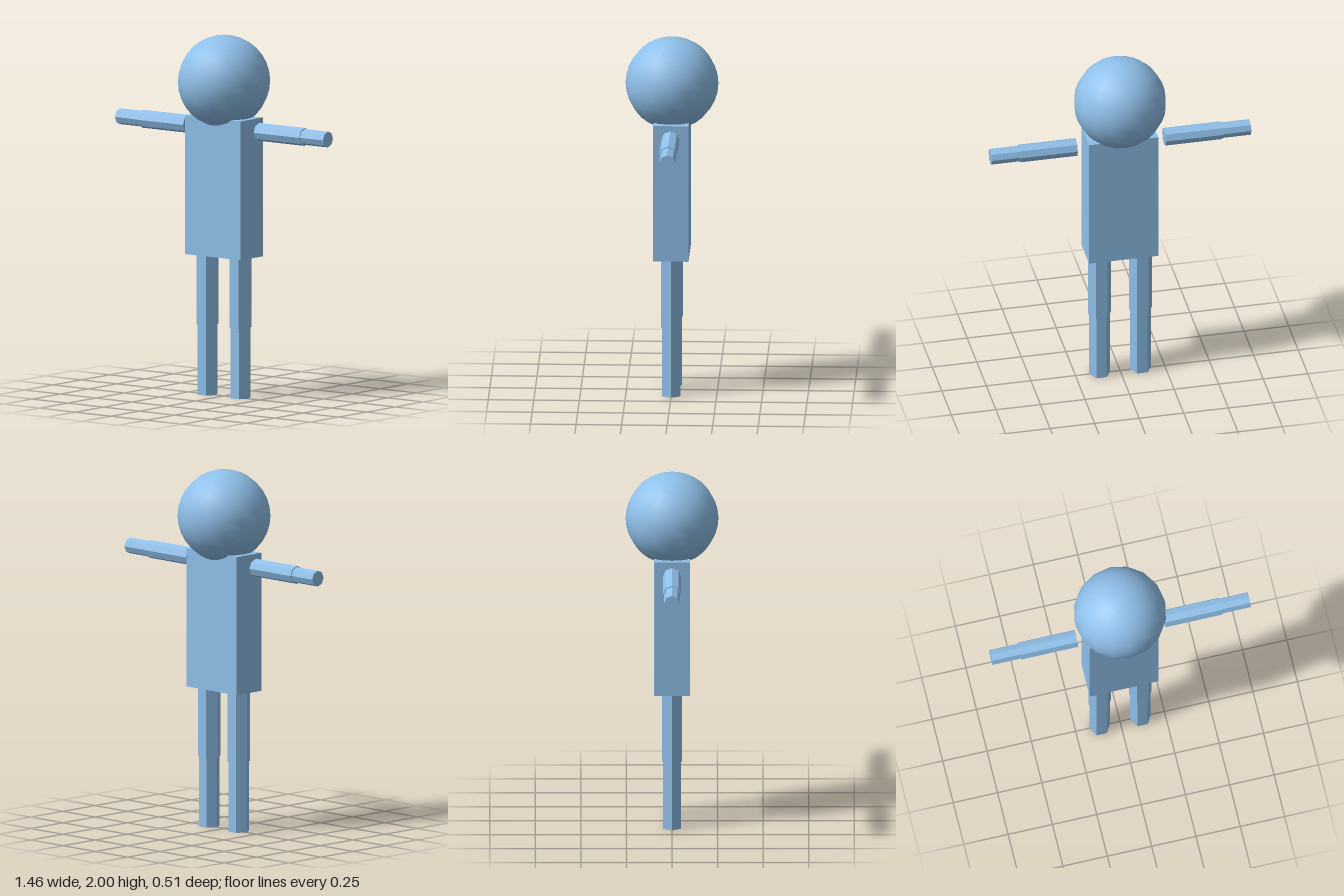
import * as THREE from 'three';

const COLOR = 0x8fc0ea;

export function createModel() {
  const model = new THREE.Group();
  model.name = 'figure';
  const flat = new THREE.MeshStandardMaterial({ color: COLOR, flatShading: true });
  const smooth = new THREE.MeshStandardMaterial({ color: COLOR });

  const add = (name, geometry, material, x, y, z = 0) => {
    const mesh = new THREE.Mesh(geometry, material);
    mesh.name = name;
    mesh.position.set(x, y, z);
    model.add(mesh);
  };

  // Faceted prism; the corners of its cross-section lie on the x axis
  const prism = (radius, length, sides) =>
    new THREE.CylinderGeometry(radius, radius, length, sides).rotateY(Math.PI / 2);

  // Head sunk slightly into the torso
  add('head', new THREE.SphereGeometry(0.255, 16, 16), smooth, 0, 1.745);
  add('torso', new THREE.BoxGeometry(0.389, 0.77, 0.195), flat, 0, 1.165);

  for (const [side, s] of [['left', 1], ['right', -1]]) {
    // Octagonal arms stretched sideways, clear of the torso
    const arm = (name, radius, x0, x1) =>
      add(side + name, prism(radius, x1 - x0, 8).rotateZ(Math.PI / 2), flat, s * (x0 + x1) / 2, 1.486);
    arm('UpperArm', 0.05, 0.247, 0.566);
    arm('Forearm', 0.044, 0.566, 0.728);

    // Hexagonal legs in two thicknesses
    const leg = (name, radius, y0, y1) =>
      add(side + name, prism(radius, y1 - y0, 6), flat, s * 0.115, (y0 + y1) / 2);
    leg('Thigh', 0.064, 0.39, 0.78);
    leg('Shin', 0.058, 0, 0.39);
  }
  return model;
}
